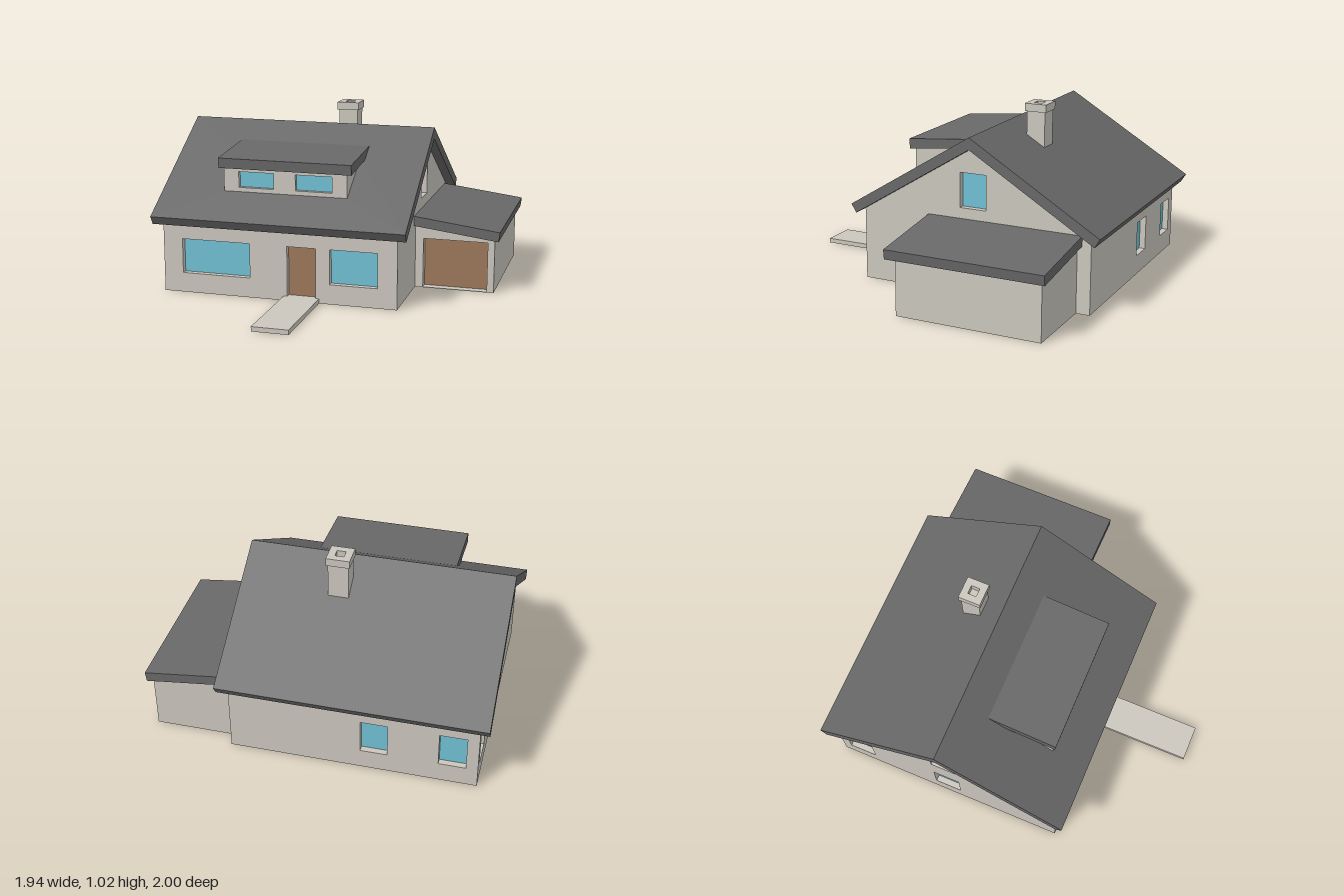
import * as THREE from 'three';

const mat = (name, color, side = THREE.FrontSide) => {
  const m = new THREE.MeshStandardMaterial({ color, side });
  m.name = name;
  return m;
};

export function createModel() {
  const plaster = mat('plaster', 0xcbc7be, THREE.DoubleSide);
  const slate = mat('slate', 0x686868);
  const glass = mat('glass', 0x70c0d4, THREE.DoubleSide);
  const wood = mat('wood', 0x9c785c, THREE.DoubleSide);

  const house = new THREE.Group();
  house.name = 'house';

  const add = (name, geometry, material, parent = house) => {
    const mesh = new THREE.Mesh(geometry, material);
    mesh.name = name;
    parent.add(mesh);
    return mesh;
  };
  const vectors = pts => pts.map(p => new THREE.Vector2(...p));
  const polygon = pts => new THREE.Shape(vectors(pts));
  const hole = pts => new THREE.Path(vectors(pts));
  const rect = (x0, y0, x1, y1) => [[x0, y0], [x1, y0], [x1, y1], [x0, y1]];
  const extrude = (shape, depth) => new THREE.ExtrudeGeometry(shape, { depth, bevelEnabled: false });

  // Four faces running back from the edge of an opening
  const revealGeometry = (corners, depth) => {
    const pts = [];
    corners.forEach(([ax, ay], i) => {
      const [bx, by] = corners[(i + 1) % 4];
      const a = [ax, ay, 0], b = [bx, by, 0], c = [bx, by, -depth], d = [ax, ay, -depth];
      pts.push(...a, ...c, ...b, ...a, ...d, ...c);
    });
    const g = new THREE.BufferGeometry();
    g.setAttribute('position', new THREE.Float32BufferAttribute(pts, 3));
    g.computeVertexNormals();
    return g;
  };

  // A sheet wall with recessed windows and doors, drawn as seen from outside
  const wall = (name, outline, openings, position, turn) => {
    const group = new THREE.Group();
    group.name = name;
    group.position.set(...position);
    group.rotation.y = turn;
    house.add(group);
    const shape = polygon(outline);
    for (const { r, kind = 'window', depth = 0.035 } of openings) {
      const corners = rect(...r);
      shape.holes.push(hole(corners));
      add(kind + 'Reveal', revealGeometry(corners, depth), plaster, group);
      add(kind, new THREE.ShapeGeometry(polygon(corners)), kind === 'window' ? glass : wood, group)
        .position.z = -depth;
    }
    add(name + 'Face', new THREE.ShapeGeometry(shape), plaster, group);
  };

  // Main dimensions
  const left = -0.915, right = 0.468, front = 0.45, back = -0.932;
  const ridgeZ = -0.238, ridgeY = 0.913, eaveY = 0.42, peakY = 0.845;
  const sideX = 0.932, gFront = -0.01, gBack = -0.853, gHigh = 0.383, gLow = 0.324;
  const quarter = Math.PI / 2, low = 0.115, high = 0.317;

  // Main walls; the side facing the garage is open to it
  wall('frontWall', rect(left, 0, right, eaveY), [
    { r: [-0.8, low, -0.392, high] },
    { r: [0.08, low, 0.355, high] },
    { r: [-0.17, 0.025, -0.002, high], kind: 'door' },
  ], [0, 0, front], 0);
  wall('backWall', rect(-right, 0, -left, eaveY), [
    { r: [0.27, low, 0.42, high] },
    { r: [0.7, low, 0.85, high] },
  ], [0, 0, back], Math.PI);
  wall('leftGable', [
    [-front, 0], [-gFront, 0], [-gFront, gHigh], [-gBack, gHigh], [-gBack, 0], [-back, 0],
    [-back, eaveY], [-ridgeZ, peakY], [-front, eaveY],
  ], [{ r: [0.158, 0.5, 0.315, 0.7] }], [right, 0, 0], quarter);
  wall('rightGable', [[back, 0], [front, 0], [front, eaveY], [ridgeZ, peakY], [back, eaveY]], [
    { r: [-0.315, 0.5, -0.158, 0.7] },
    { r: [-0.315, low, -0.158, high] },
    { r: [-0.88, low, -0.72, high] },
  ], [left, 0, 0], -quarter);

  // Two roof slopes, the front one open under the dormer
  const drop = ridgeY - 0.45, thick = 0.058, roofX = -0.223;
  [['frontRoof', 0.748], ['backRoof', 0.762]].forEach(([name, run], i) => {
    const pitch = Math.atan2(drop, run);
    const shape = polygon(rect(-0.746, -Math.hypot(run, drop), 0.746, 0));
    if (i === 0) {
      const along = z => (ridgeZ - z) / Math.cos(pitch);
      shape.holes.push(hole(rect(-0.595 - roofX, along(0.3), 0.14 - roofX, along(0.03))));
    }
    const g = extrude(shape, thick);
    g.translate(0, 0, -thick).rotateX(pitch - quarter).rotateY(i * Math.PI);
    add(name, g, slate).position.set(roofX, ridgeY, ridgeZ);
  });

  // Dormer: front wall, side cheeks and sloping roof
  wall('dormerFront', rect(-0.595, 0.58, 0.14, 0.722), [
    { r: [-0.505, 0.605, -0.295, 0.697], depth: 0.025 },
    { r: [-0.165, 0.605, 0.052, 0.697], depth: 0.025 },
  ], [0, 0, 0.3], 0);
  for (const x of [-0.595, 0.14]) {
    wall('dormerCheek', [[-0.3, 0.575], [-0.3, 0.721], [-0.02, 0.752], [-0.02, 0.74]], [], [x, 0, 0], quarter);
  }
  // Profile in (-z, y), extruded along x
  const dormerRoof = extrude(polygon([[-0.322, 0.717], [0, 0.752], [0.075, 0.813], [-0.327, 0.776]]), 0.79);
  add('dormerRoof', dormerRoof.rotateY(quarter), slate).position.x = -0.62;

  // Garage
  wall('garageFront', [[right, 0], [sideX, 0], [sideX, gLow], [right, gHigh]],
    [{ r: [0.515, 0.003, 0.892, 0.297], kind: 'garageDoor', depth: 0.05 }], [0, 0, gFront], 0);
  wall('garageBack', [[-sideX, 0], [-right, 0], [-right, gHigh], [-sideX, gLow]], [], [0, 0, gBack], Math.PI);
  wall('garageSide', rect(-gFront, 0, -gBack, gLow), [], [sideX, 0, 0], quarter);
  const garageRoof = extrude(polygon([[right, 0.381], [0.96, 0.319], [0.967, 0.375], [right, 0.438]]), 0.92);
  add('garageRoof', garageRoof, slate).position.z = -0.88;

  // Chimney with a hollow cap
  const stack = add('chimneyStack', new THREE.BoxGeometry(0.115, 0.22, 0.11), plaster);
  stack.position.set(-0.034, 0.87, -0.41);
  const cap = polygon(rect(-0.1, 0.345, 0.032, 0.475));
  cap.holes.push(hole(rect(-0.059, 0.385, -0.009, 0.435)));
  add('chimneyCap', extrude(cap, 0.045).rotateX(-quarter), plaster).position.y = 0.977;

  // Path to the front door, hollow beneath
  const path = rect(-0.19, -1, 0.018, -front);
  const pathY = 0.027;
  add('pathTop', new THREE.ShapeGeometry(polygon(path)).rotateX(-quarter), plaster).position.y = pathY;
  add('pathSides', revealGeometry(path, pathY).rotateX(-quarter), plaster).position.y = pathY;

  return house;
}
